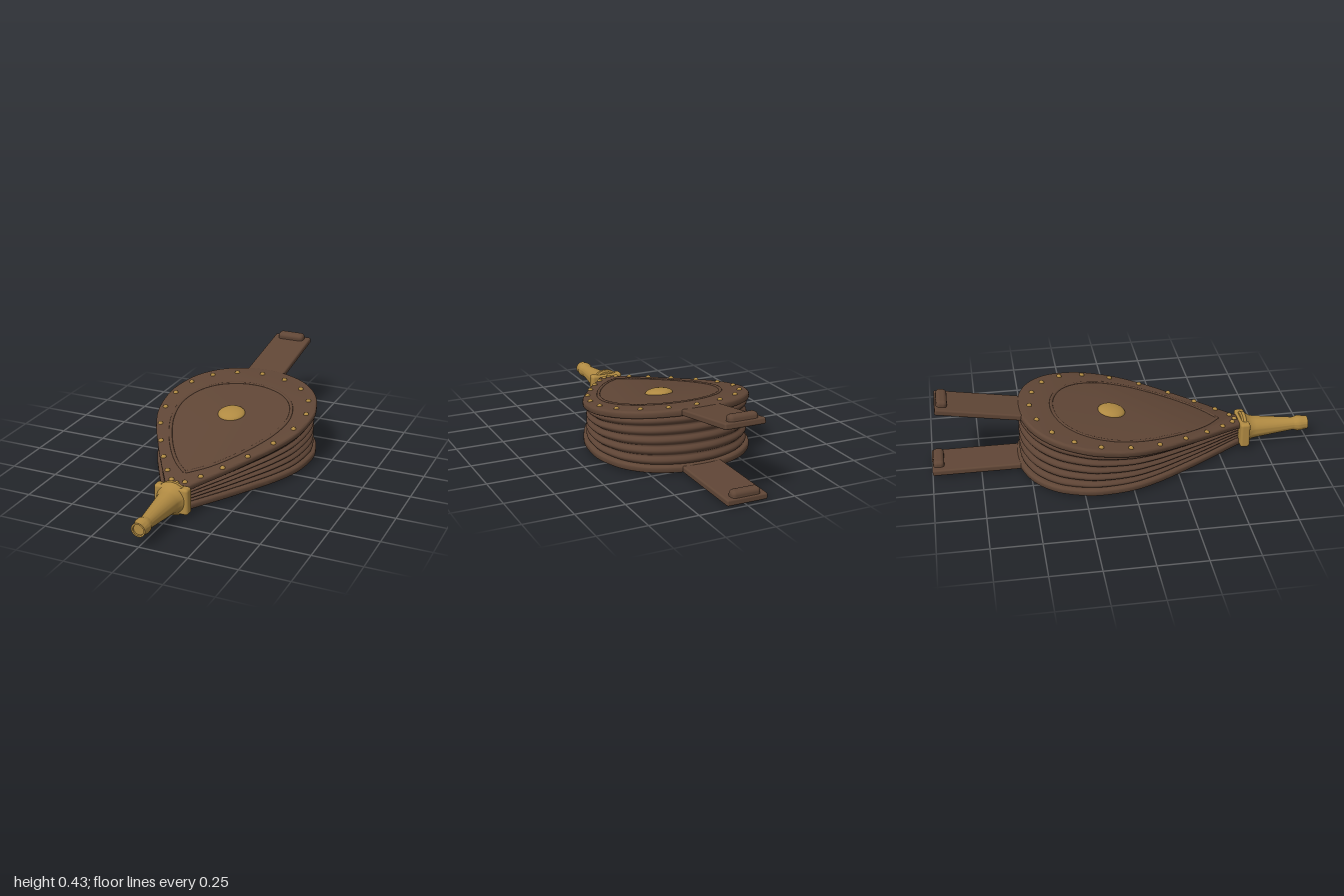
import * as THREE from 'three';
import { toCreasedNormals } from 'three/addons/utils/BufferGeometryUtils.js';
import { RoundedBoxGeometry } from 'three/addons/geometries/RoundedBoxGeometry.js';

const wood = new THREE.MeshStandardMaterial({ name: 'brown wood', color: 0x604636 });
const leather = new THREE.MeshStandardMaterial({ name: 'brown leather', color: 0x5e4435, side: THREE.DoubleSide });
const brass = new THREE.MeshStandardMaterial({ name: 'brass', color: 0xb08a42 });

const HINGE_Z = 0.6, HINGE_Y = 0.147, SLOPE = 0.165, THICK = 0.037;

// Teardrop halves as (x, z), from the round back to the pointed front
const boardHalf = [[0, -0.56], [0.12, -0.546], [0.25, -0.49], [0.35, -0.39], [0.403, -0.26], [0.415, -0.15],
  [0.395, 0], [0.34, 0.14], [0.262, 0.28], [0.178, 0.42], [0.1, 0.54], [0.056, 0.61], [0.045, 0.635]];
const panelHalf = [[0, -0.385], [0.1, -0.37], [0.2, -0.32], [0.27, -0.235], [0.305, -0.11], [0.29, 0.03],
  [0.24, 0.17], [0.16, 0.32], [0.08, 0.43], [0, 0.505]];

const mirrored = half => [
  ...half.slice(1).reverse().map(([x, z]) => [-x, z]), ...half,
].map(([x, z]) => new THREE.Vector2(x, z));

const outline = new THREE.SplineCurve(mirrored(boardHalf)).getSpacedPoints(120);

function mesh(name, geometry, material, x = 0, y = 0, z = 0) {
  const m = new THREE.Mesh(geometry, material);
  m.name = name;
  m.position.set(x, y, z);
  return m;
}

// Rounded-edge slab with its top surface on y = 0
function slab(points) {
  const shape = new THREE.Shape(points.map(p => new THREE.Vector2(p.x, -p.y)));
  const bevel = 0.012;
  const g = new THREE.ExtrudeGeometry(shape, {
    depth: THICK - 2 * bevel, bevelThickness: bevel, bevelSize: bevel, bevelOffset: -bevel, bevelSegments: 4,
  });
  g.rotateX(-Math.PI / 2);
  g.translate(0, bevel - THICK, 0);
  return toCreasedNormals(g, 0.7);
}

// Teardrop board with a flat handle and a grip bar at its end
function board(name, end) {
  const group = new THREE.Group();
  group.name = name;
  group.add(mesh('boardPanel', slab(outline), wood));
  const length = -0.46 - end;
  group.add(mesh('handle', new RoundedBoxGeometry(0.212, 0.032, length, 3, 0.009), wood, 0, -0.019, end + length / 2));
  group.add(mesh('handleGrip', new RoundedBoxGeometry(0.15, 0.055, 0.055, 4, 0.02), wood, 0, 0.001, end + 0.034));
  return group;
}

// Pleated skin between the boards; the pleats converge toward the front
function bellowsGeometry() {
  const pleats = 5, rows = pleats * 8, cols = outline.length;
  const pos = [], index = [];
  for (let r = 0; r <= rows; r++) {
    const v = r / rows;
    const inset = 0.036 - 0.02 * Math.abs(Math.sin(v * pleats * Math.PI));
    outline.forEach((p, i) => {
      const a = outline[Math.max(i - 1, 0)], b = outline[Math.min(i + 1, cols - 1)];
      const t = b.clone().sub(a).normalize();
      const x = p.x - t.y * inset, z = p.y + t.x * inset;
      const top = HINGE_Y + SLOPE * (HINGE_Z - z) - 0.03;
      pos.push(x, THREE.MathUtils.lerp(0.04, top, v), z);
      if (r < rows && i < cols - 1) {
        const k = r * cols + i;
        index.push(k, k + cols, k + 1, k + 1, k + cols, k + cols + 1);
      }
    });
  }
  const g = new THREE.BufferGeometry();
  g.setAttribute('position', new THREE.Float32BufferAttribute(pos, 3));
  g.setIndex(index);
  g.computeVertexNormals();
  return g;
}

// Shallow dome sitting on y = 0
function dome(radius, height, segments) {
  const g = new THREE.SphereGeometry(1, segments, 8, 0, Math.PI * 2, 0, Math.PI / 2);
  return g.scale(radius, height, radius);
}

export function createModel() {
  const model = new THREE.Group();
  model.name = 'bellows';

  const bottom = board('bottomBoard', -1);
  bottom.position.y = 0.047;
  model.add(bottom);
  model.add(mesh('pleatedBellows', bellowsGeometry(), leather));

  // Top board, tilted about its front end
  const pivot = new THREE.Group();
  pivot.name = 'topBoardHinge';
  pivot.position.set(0, HINGE_Y, HINGE_Z);
  pivot.rotation.x = Math.atan(SLOPE);
  const top = board('topBoard', -0.982);
  top.position.z = -HINGE_Z;
  pivot.add(top);
  model.add(pivot);

  // Raised moulding around the inner panel
  const path = new THREE.CatmullRomCurve3(mirrored(panelHalf).map(p => new THREE.Vector3(p.x, 0, p.y)));
  const moulding = mesh('panelMoulding', new THREE.TubeGeometry(path, 120, 0.009, 8), wood);
  moulding.scale.y = 0.6;
  top.add(moulding);

  // Brass boss and rim studs
  top.add(mesh('centreBoss', dome(0.072, 0.026, 32), brass, 0, -0.001, -0.069));
  const studs = [[0, -0.5], [0.14, -0.475], [0.26, -0.41], [0.342, -0.307], [0.377, -0.177], [0.365, -0.025],
    [0.317, 0.132], [0.24, 0.282], [0.161, 0.412], [0.09, 0.514], [0.036, 0.58], [0, 0.6]];
  const studGeometry = dome(0.0135, 0.012, 14);
  for (const [x, z] of studs) {
    for (const side of x ? [-1, 1] : [1]) top.add(mesh('rimStud', studGeometry, brass, side * x, -0.001, z));
  }

  // Nozzle with square collar and round flange
  model.add(mesh('nozzleCollar', new RoundedBoxGeometry(0.18, 0.138, 0.052, 3, 0.014), brass, 0, 0.086, 0.643));
  const profile = [[0, 0.63], [0.08, 0.63], [0.088, 0.638], [0.088, 0.654], [0.074, 0.668], [0.062, 0.69],
    [0.058, 0.71], [0.034, 0.92], [0.036, 0.93], [0.041, 0.945], [0.041, 0.962], [0.036, 0.98], [0.036, 1],
    [0.028, 1], [0.027, 0.992], [0, 0.992]].map(([r, z]) => new THREE.Vector2(r, z));
  const nozzle = new THREE.LatheGeometry(profile, 40).rotateX(Math.PI / 2);
  model.add(mesh('nozzle', toCreasedNormals(nozzle, 0.6), brass, 0, 0.088, 0));

  return model;
}
